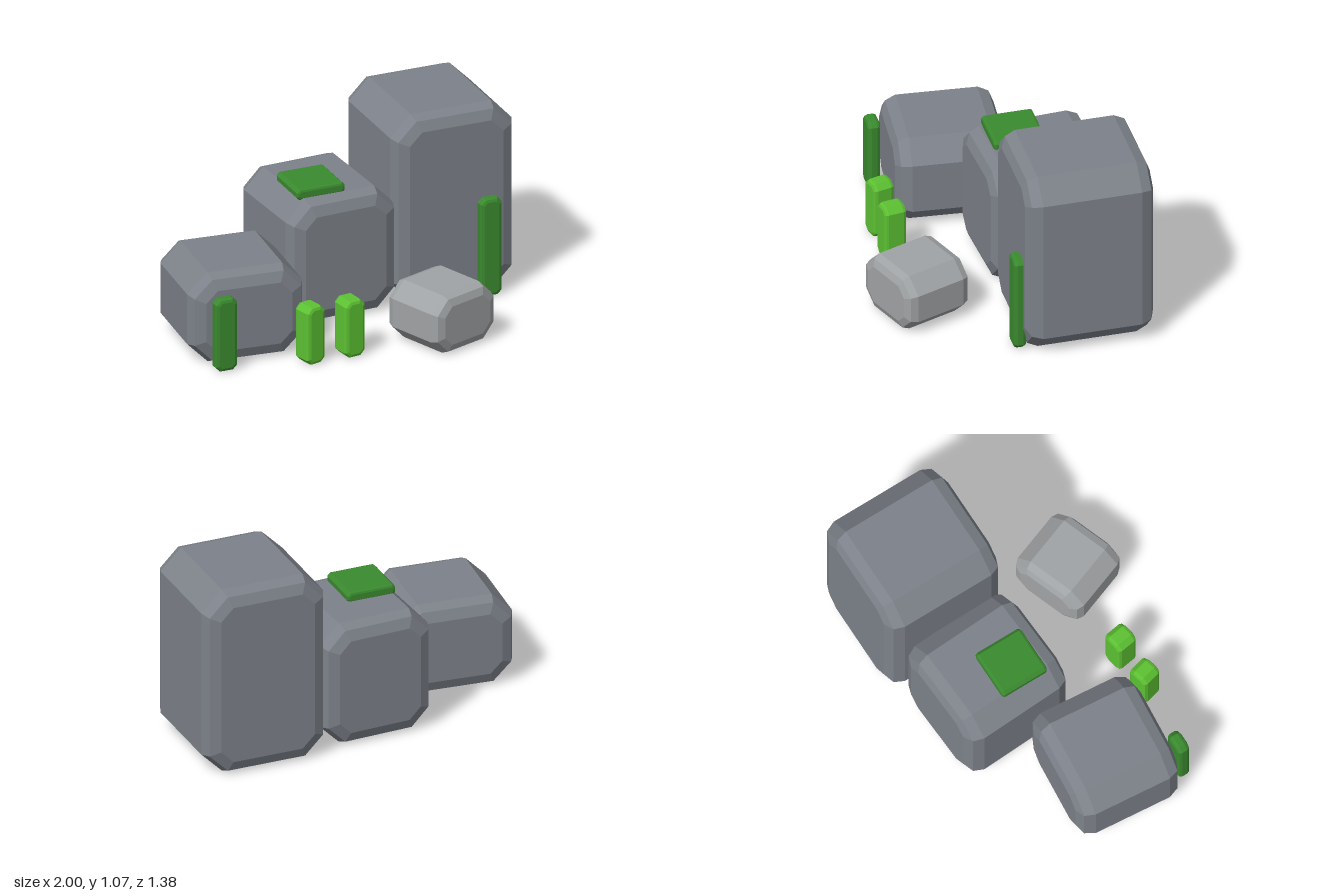
import * as THREE from 'three';

const mat = (name, color) => {
  const m = new THREE.MeshStandardMaterial({ color, flatShading: true });
  m.name = name;
  return m;
};

// Octagonal prism along z with a two-step bevel on its front and back rims.
// w, h, d are outer sizes, cut is the octagon corner, bevel the rim size.
function chamferedBlock(w, h, d, cut, bevel) {
  const x = w / 2, y = h / 2;
  const shape = new THREE.Shape([
    [-x + cut, -y], [x - cut, -y], [x, -y + cut], [x, y - cut],
    [x - cut, y], [-x + cut, y], [-x, y - cut], [-x, -y + cut],
  ].map(([px, py]) => new THREE.Vector2(px, py)));
  const geo = new THREE.ExtrudeGeometry(shape, {
    depth: d - 2 * bevel, steps: 1, bevelEnabled: true,
    bevelThickness: bevel, bevelSize: bevel, bevelOffset: -bevel, bevelSegments: 2,
  });
  return geo.translate(0, 0, bevel - d / 2);
}

export function createModel() {
  const group = new THREE.Group();
  const stone = mat('stone grey', 0x7d828a);
  const paleStone = mat('pale stone', 0xa0a3a5);
  const moss = mat('moss green', 0x3a8a2e);
  const sprout = mat('sprout green', 0x5cc132);

  // name, material, size [w, h, d], base centre [x, y, z], turn, corner cut, bevel
  const parts = [
    // Three stepped boulders
    ['lowBoulder', stone, [0.64, 0.51, 0.6], [-0.66, 0, 0.02], -0.09, 0.112, 0.08],
    ['middleBoulder', stone, [0.635, 0.7, 0.645], [-0.012, 0, -0.305], 0.05, 0.112, 0.08],
    ['tallBoulder', stone, [0.7, 1.07, 0.7], [0.65, 0, -0.35], 0, 0.118, 0.08],
    // Loose stone in front
    ['looseStone', paleStone, [0.44, 0.33, 0.4], [0.367, 0, 0.44], 0.35, 0.085, 0.055],
    // Moss on top and hanging on the faces
    ['mossCap', moss, [0.28, 0.062, 0.28], [-0.1, 0.687, -0.21], 0, 0.018, 0.015],
    ['mossStripLeft', moss, [0.127, 0.415, 0.07], [-0.847, 0, 0.36], 0, 0.028, 0.02],
    ['mossStripRight', moss, [0.125, 0.56, 0.07], [0.833, 0, 0.015], 0, 0.028, 0.02],
    // Standing sprouts
    ['sproutLeft', sprout, [0.12, 0.33, 0.12], [-0.39, 0, 0.44], 0.25, 0.03, 0.02],
    ['sproutRight', sprout, [0.125, 0.325, 0.125], [-0.16, 0, 0.435], 0.15, 0.03, 0.02],
  ];

  for (const [name, material, [w, h, d], [x, y, z], turn, cut, bevel] of parts) {
    const mesh = new THREE.Mesh(chamferedBlock(w, h, d, cut, bevel), material);
    mesh.name = name;
    mesh.position.set(x, y + h / 2, z);
    mesh.rotation.y = turn;
    group.add(mesh);
  }
  return group;
}
